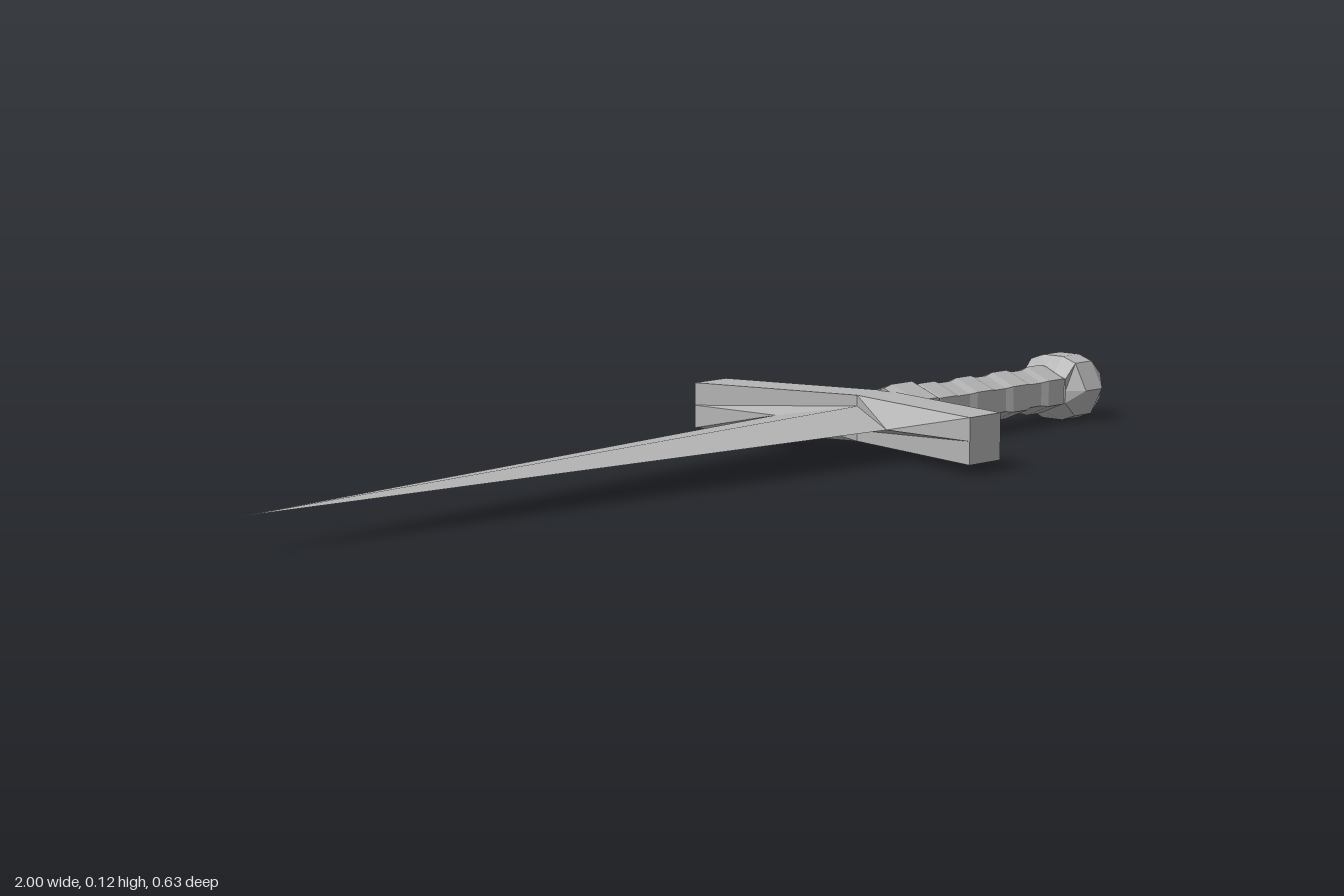
import * as THREE from 'three';

const CY = 0.058; // height of the dagger's long axis

const steel = new THREE.MeshStandardMaterial({ color: 0xb4b4b4 });
steel.name = 'grey steel';
steel.flatShading = true;

function makeMesh(name, triangles) {
  const geometry = new THREE.BufferGeometry();
  geometry.setAttribute('position', new THREE.Float32BufferAttribute(triangles.flat(2), 3));
  geometry.computeVertexNormals();
  const mesh = new THREE.Mesh(geometry, steel);
  mesh.name = name;
  mesh.position.y = CY;
  return mesh;
}

// Mirrors the faces of one quadrant (+y, +z) into all four
function quadrants(name, polygons) {
  const tris = [];
  for (const sy of [1, -1]) for (const sz of [1, -1]) {
    for (const polygon of polygons) {
      const pts = polygon.map(([x, y, z]) => [x, y * sy, z * sz]);
      if (sy * sz < 0) pts.reverse();
      for (let i = 1; i < pts.length - 1; i++) tris.push([pts[0], pts[i], pts[i + 1]]);
    }
  }
  return makeMesh(name, tris);
}

// Joins cross-sections along x; each section is { x, ring: [[y, z], ...] }
function loft(name, sections) {
  const rings = sections.map(({ x, ring }) => ring.map(([y, z]) => [x, y, z]));
  const n = rings[0].length, last = rings[rings.length - 1], tris = [];
  for (let i = 0; i < rings.length - 1; i++) {
    const a = rings[i], b = rings[i + 1];
    for (let j = 0; j < n; j++) {
      const k = (j + 1) % n;
      tris.push([a[j], a[k], b[j]], [a[k], b[k], b[j]]);
    }
  }
  for (let j = 1; j < n - 1; j++) {
    tris.push([last[0], last[j], last[j + 1]], [rings[0][0], rings[0][j + 1], rings[0][j]]);
  }
  return makeMesh(name, tris);
}

// Hexagon with a ridge on top and below and upright sides
const hex = (peak, shoulder, half) => [
  [peak, 0], [shoulder, half], [-shoulder, half],
  [-peak, 0], [-shoulder, -half], [shoulder, -half],
];

// Twelve-point ring from its top, upper, shoulder and side points
const ring12 = (top, upper, shoulder, side) => {
  const flip = ([y, z], sy, sz) => [y * sy, z * sz];
  return [
    top, upper, shoulder, side, flip(shoulder, -1, 1), flip(upper, -1, 1),
    flip(top, -1, 1), flip(upper, -1, -1), flip(shoulder, -1, -1),
    flip(side, 1, -1), flip(shoulder, 1, -1), flip(upper, 1, -1),
  ];
};

export function createModel() {
  const group = new THREE.Group();
  group.name = 'dagger';

  // Blade: shallow diamond tapering to a point
  const tip = [-1, 0, 0], edge = [0.315, 0, 0.127], ridge = [0.385, 0.021, 0];
  group.add(quadrants('blade', [[tip, edge, ridge]]));

  // Swept crossguard, its front faces folding in to the blade
  const A = [0.31, 0.04, 0.313], A0 = [0.31, 0, 0.313];
  const E = [0.39, 0.04, 0.313], E0 = [0.39, 0, 0.313];
  const F = [0.465, 0.04, 0], F0 = [0.465, 0, 0], C = [0.385, 0.04, 0];
  group.add(quadrants('crossguard', [
    [A, E, F, C],
    [E, E0, F0, F],
    [A, A0, E0, E],
    [edge, A0, A, C, ridge],
  ]));

  // Collar between guard and grip
  group.add(loft('collar', [[0.455, 0.9], [0.475, 1], [0.53, 1], [0.542, 0.88]].map(
    ([x, s]) => ({ x, ring: hex(0.05 * s, 0.027 * s, 0.06 * s) }))));

  // Grip with four raised bands
  const grip = [];
  for (let i = 0; i < 4; i++) {
    for (const [dx, s] of [[0, 0.9], [0.015, 1], [0.055, 1], [0.07, 0.9]]) {
      grip.push({ x: 0.535 + 0.1 * i + dx, ring: hex(0.044 * s, 0.023 * s, 0.05 * s) });
    }
  }
  group.add(loft('grip', grip));

  // Faceted pommel with hexagonal ends
  const small = ring12([0.036, 0], [0.03, 0.022], [0.022, 0.05], [0, 0.05]);
  const large = ring12([0.058, 0], [0.058, 0.022], [0.048, 0.051], [0, 0.076]);
  group.add(loft('pommel', [
    { x: 0.898, ring: small }, { x: 0.925, ring: large },
    { x: 0.972, ring: large }, { x: 1, ring: small },
  ]));

  return group;
}
